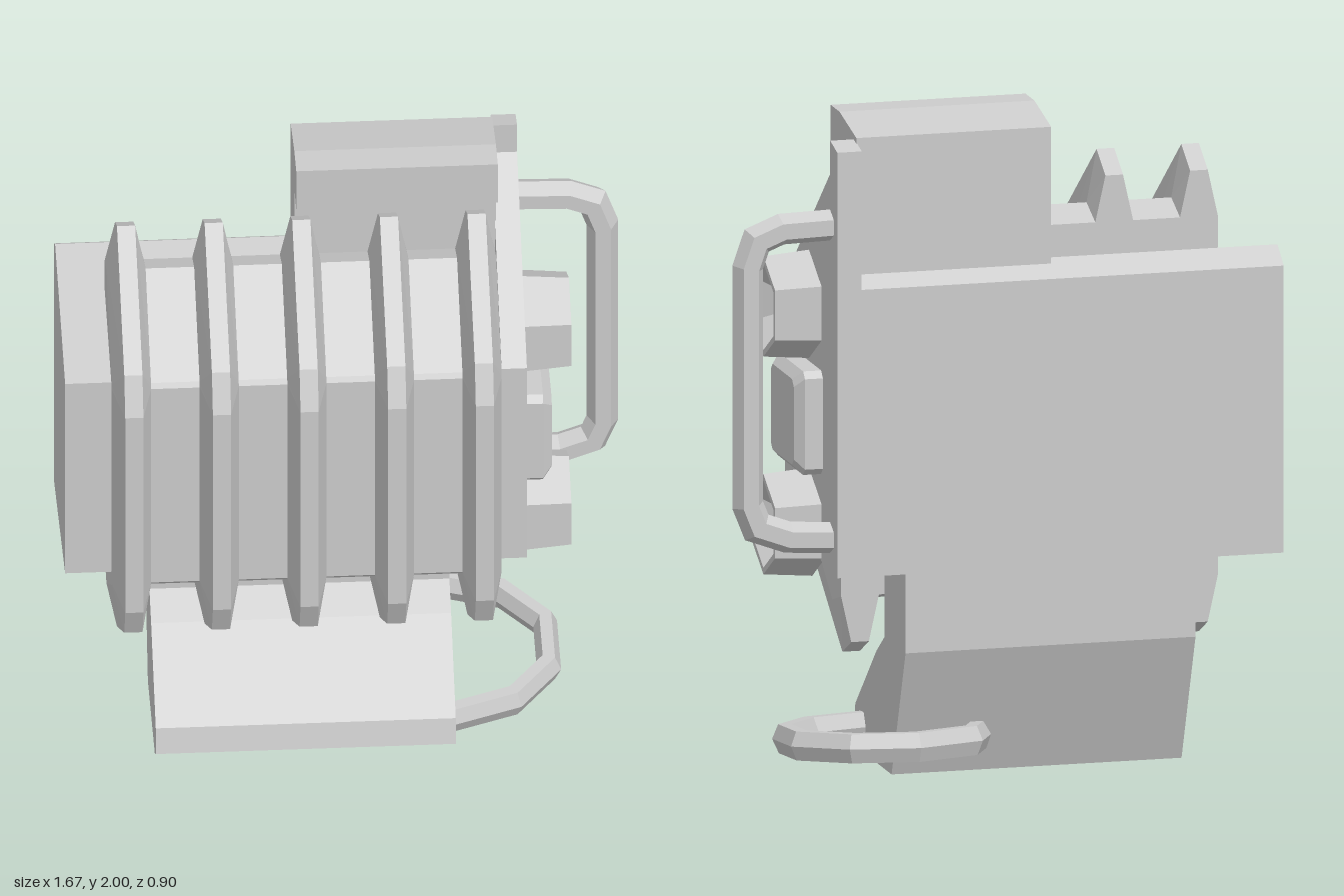
import * as THREE from 'three';

const material = new THREE.MeshStandardMaterial({ color: 0xcccccc, flatShading: true });

function addMesh(parent, name, geometry) {
  const mesh = new THREE.Mesh(geometry, material);
  mesh.name = name;
  parent.add(mesh);
  return mesh;
}

// Side profile of [z, y] points, extruded from x0 to x1
function addSlab(parent, name, profile, x0, x1) {
  const shape = new THREE.Shape(profile.map(([z, y]) => new THREE.Vector2(z, y)));
  const geometry = new THREE.ExtrudeGeometry(shape, { depth: x1 - x0, bevelEnabled: false });
  geometry.rotateY(-Math.PI / 2).translate(x1, 0, 0);
  return addMesh(parent, name, geometry);
}

// Joins equal-sized convex loops and caps both ends
function loft(loops) {
  const pos = [];
  const tri = (...corners) => corners.forEach((p) => pos.push(...p));
  const n = loops[0].length;
  for (let i = 0; i < loops.length - 1; i++) {
    for (let j = 0; j < n; j++) {
      const k = (j + 1) % n;
      const a = loops[i], b = loops[i + 1];
      tri(a[j], a[k], b[k]);
      tri(a[j], b[k], b[j]);
    }
  }
  const first = loops[0], last = loops[loops.length - 1];
  for (let j = 1; j < n - 1; j++) {
    tri(first[0], first[j + 1], first[j]);
    tri(last[0], last[j], last[j + 1]);
  }
  const geometry = new THREE.BufferGeometry();
  geometry.setAttribute('position', new THREE.Float32BufferAttribute(pos, 3));
  geometry.computeVertexNormals();
  return geometry;
}

// Six-sided bar along a flat path, mitred at each corner
function bar(path, rFlat, rDeep) {
  const pts = path.map(([x, y]) => new THREE.Vector2(x, y));
  const loops = pts.map((p, i) => {
    const before = p.clone().sub(pts[Math.max(i - 1, 0)]).normalize();
    const after = pts[Math.min(i + 1, pts.length - 1)].clone().sub(p).normalize();
    const t = before.clone().add(after).normalize();
    const miter = 1 / Math.max(t.dot(i ? before : after), 0.5);
    return Array.from({ length: 6 }, (_, k) => {
      const a = (k / 6) * Math.PI * 2;
      const r = Math.cos(a) * rFlat * miter;
      return [p.x - t.y * r, p.y + t.x * r, Math.sin(a) * rDeep];
    });
  });
  return loft(loops);
}

export function createModel() {
  const model = new THREE.Group();
  model.name = 'finnedUnit';

  // Main housing and ribbed core
  addSlab(model, 'housing', [
    [-0.32, 0.64], [0.27, 0.73], [0.27, 1.43], [-0.25, 1.56], [-0.32, 1.51],
  ], -0.84, 0.46);
  const coreProfile = [
    [-0.08, 0.53], [0.02, 0.5], [0.3, 0.703], [0.31, 0.715],
    [0.31, 1.43], [0.3, 1.445], [0.02, 1.66], [-0.08, 1.62],
  ];
  addSlab(model, 'core', coreProfile, -0.7, 0.45);

  // Five tapered cooling fins
  const finProfile = [
    [-0.08, 0.39], [0.02, 0.34], [0.4, 0.6], [0.45, 0.71],
    [0.45, 1.43], [0.4, 1.55], [0.02, 1.82], [-0.08, 1.76],
  ];
  const section = (profile, x) => profile.map(([z, y]) => [x, y, z]);
  const finGeometry = loft([
    section(coreProfile, 0.058), section(finProfile, 0.027),
    section(finProfile, -0.027), section(coreProfile, -0.058),
  ]);
  for (let i = 0; i < 5; i++) {
    addMesh(model, 'fin', finGeometry).position.x = -0.645 + i * 0.26;
  }

  // End plate carrying the fittings
  addSlab(model, 'endPlate', [
    [-0.32, 0.64], [-0.08, 0.66], [0.27, 0.73], [0.27, 1.43],
    [-0.24, 1.85], [-0.24, 1.95], [-0.32, 1.93],
  ], 0.455, 0.53);

  // Hooked clip on top and slanted foot below
  addSlab(model, 'topClip', [
    [-0.27, 1.45], [-0.08, 1.45], [-0.08, 1.86], [0.02, 1.86],
    [0.02, 2], [-0.08, 2], [-0.27, 1.96],
  ], -0.14, 0.458);
  addSlab(model, 'foot', [
    [-0.16, 0], [0.2, 0], [0.27, 0.05], [0.25, 0.13], [0.01, 0.34],
    [-0.08, 0.4], [-0.08, 0.72], [-0.318, 0.72], [-0.318, 0.4],
  ], -0.57, 0.32);

  // Hexagonal bolts with sunken sockets
  const boltProfile = [[0.165, 0], [0.152, 0.15], [0.132, 0.15], [0.075, 0.09], [0, 0.06]]
    .map(([r, h]) => new THREE.Vector2(r, h));
  const boltGeometry = new THREE.LatheGeometry(boltProfile, 6, Math.PI / 6).rotateZ(-Math.PI / 2);
  for (const y of [0.745, 1.405]) {
    addMesh(model, 'bolt', boltGeometry).position.set(0.52, y, 0);
  }

  // Chamfered button between the bolts
  const buttonLoop = (x, h) => {
    const c = h - 0.02;
    return [[-c, -h], [c, -h], [h, -c], [h, c], [c, h], [-c, h], [-h, c], [-h, -c]]
      .map(([y, z]) => [x, 1.075 + y, z]);
  };
  addMesh(model, 'button', loft([
    buttonLoop(0.5, 0.157), buttonLoop(0.585, 0.157), buttonLoop(0.612, 0.13),
  ]));

  // Side grab handle
  addMesh(model, 'sideHandle', bar([
    [0.5, 1.695], [0.68, 1.69], [0.755, 1.66], [0.783, 1.58],
    [0.783, 0.86], [0.755, 0.79], [0.66, 0.755], [0.5, 0.745],
  ], 0.047, 0.05)).position.z = -0.238;

  // Tilted ring through the corner of the foot
  const ring = addMesh(model, 'footRing', bar([
    [0.18, -0.17], [0.31, -0.175], [0.5, -0.11], [0.612, 0.03],
    [0.612, 0.22], [0.49, 0.36], [0.31, 0.415], [0.12, 0.33], [0.05, 0.17],
  ], 0.036, 0.05));
  ring.rotation.x = -Math.PI / 2 + 0.1;
  ring.position.y = 0.095;

  return model;
}
